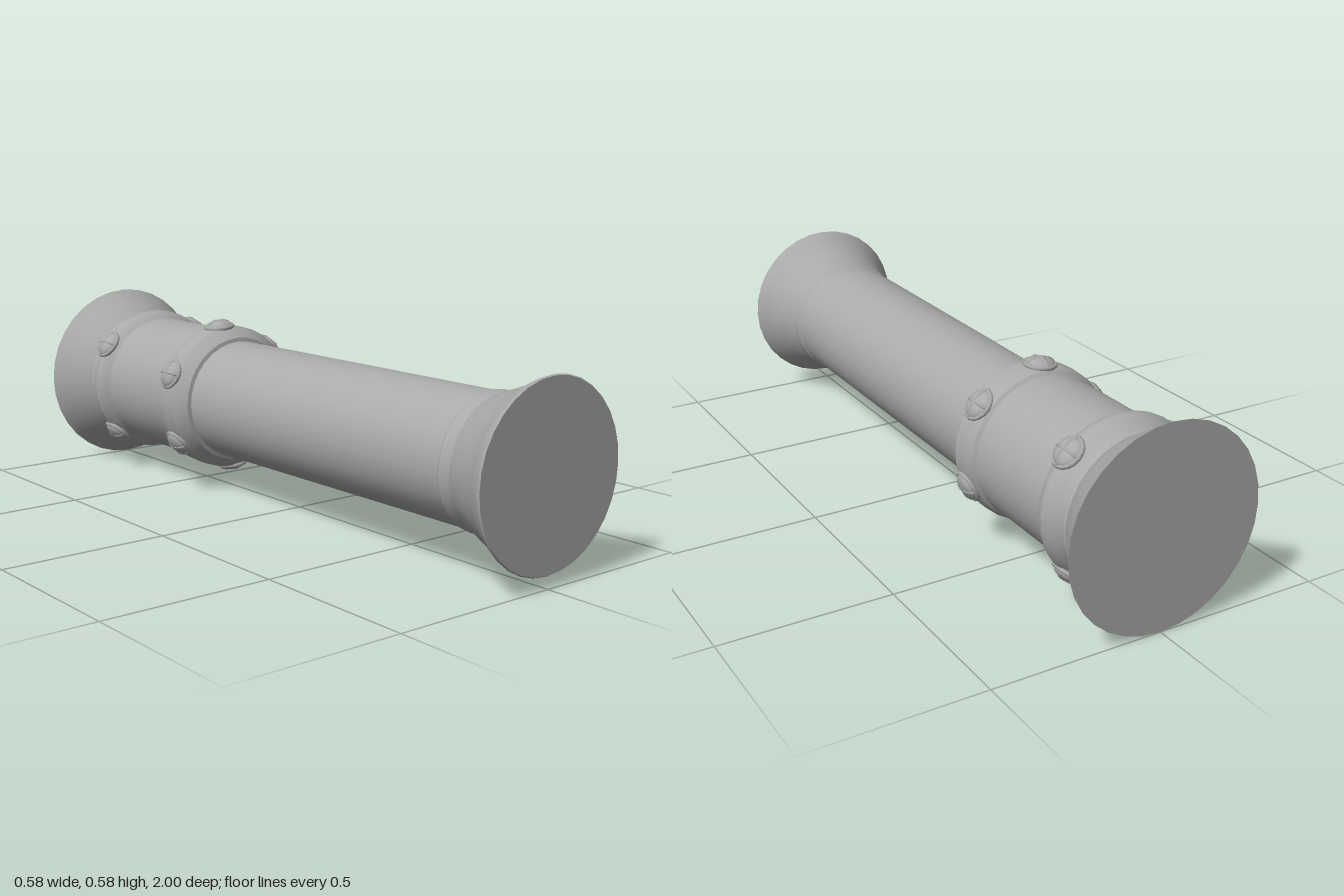
import * as THREE from 'three';
import { toCreasedNormals } from 'three/addons/utils/BufferGeometryUtils.js';

const AXIS_Y = 0.292;
const SIDES = 32;

export function createModel() {
  const metal = new THREE.MeshStandardMaterial({ color: 0xaaaaaa });
  metal.name = 'grey metal';

  const model = new THREE.Group();
  model.name = 'spyglass';
  const body = new THREE.Group();
  body.name = 'body';
  body.position.y = AXIS_Y;
  model.add(body);

  // Turned part lying along z; profile is [radius, z] from back to front
  function turned(name, profile) {
    const lathe = new THREE.LatheGeometry(profile.map(([r, z]) => new THREE.Vector2(r, z)), SIDES);
    lathe.rotateX(Math.PI / 2);
    const mesh = new THREE.Mesh(toCreasedNormals(lathe, 0.4), metal);
    mesh.name = name;
    body.add(mesh);
  }

  // Wide flare closing the back end
  turned('backFlare', [
    [0, -1], [0.291, -1], [0.275, -0.975], [0.245, -0.925], [0.213, -0.875], [0.2, -0.86],
  ]);
  // Thick rear barrel
  turned('rearBarrel', [[0.213, -0.88], [0.213, -0.42]]);
  // Rounded band near the back
  turned('backBand', [
    [0.212, -0.88], [0.217, -0.87], [0.217, -0.845], [0.226, -0.83], [0.234, -0.815], [0.237, -0.8],
    [0.234, -0.785], [0.226, -0.77], [0.216, -0.76], [0.212, -0.755],
  ]);
  // Collar joining the two barrels
  turned('collar', [
    [0.211, -0.445], [0.222, -0.435], [0.228, -0.42], [0.229, -0.39],
    [0.228, -0.355], [0.217, -0.338], [0.197, -0.315], [0.183, -0.312],
  ]);
  // Slim front barrel
  turned('frontBarrel', [[0.185, -0.35], [0.185, 0.85]]);
  turned('frontBand', [[0.184, 0.785], [0.191, 0.795], [0.191, 0.835], [0.184, 0.84]]);
  // Stepped flare closing the front end
  turned('frontFlare', [
    [0.185, 0.825], [0.192, 0.835], [0.212, 0.895], [0.215, 0.9], [0.234, 0.95],
    [0.238, 0.955], [0.256, 0.99], [0.258, 0.995], [0.255, 1], [0, 1],
  ]);

  // Round stud with a raised cross, facing +x
  const domeGeo = new THREE.SphereGeometry(1, 16, 10).scale(0.021, 0.043, 0.043);
  const rimGeo = new THREE.TorusGeometry(0.043, 0.007, 6, 16).rotateY(Math.PI / 2);
  const ribGeo = new THREE.TorusGeometry(1, 0.09, 5, 12, Math.PI)
    .rotateZ(-Math.PI / 2).scale(0.021, 0.043, 0.05);

  function stud(name, angle, radius, z) {
    const group = new THREE.Group();
    group.name = name;
    const a = THREE.MathUtils.degToRad(angle);
    group.position.set(Math.cos(a) * radius, Math.sin(a) * radius, z);
    group.rotation.z = a;
    const add = (part, geo, turn = 0) => {
      const mesh = new THREE.Mesh(geo, metal);
      mesh.name = part;
      mesh.rotation.x = turn;
      group.add(mesh);
    };
    add('studDome', domeGeo);
    add('studRim', rimGeo);
    add('studRib', ribGeo);
    add('studRib', ribGeo, Math.PI / 2);
    body.add(group);
  }

  // Six studs on the collar, four on the back band
  [-24, 40, 95, 156, 216, 276].forEach((a) => stud('collarStud', a, 0.227, -0.39));
  [46, 144, 226, 310].forEach((a) => stud('backStud', a, 0.232, -0.8));

  return model;
}
